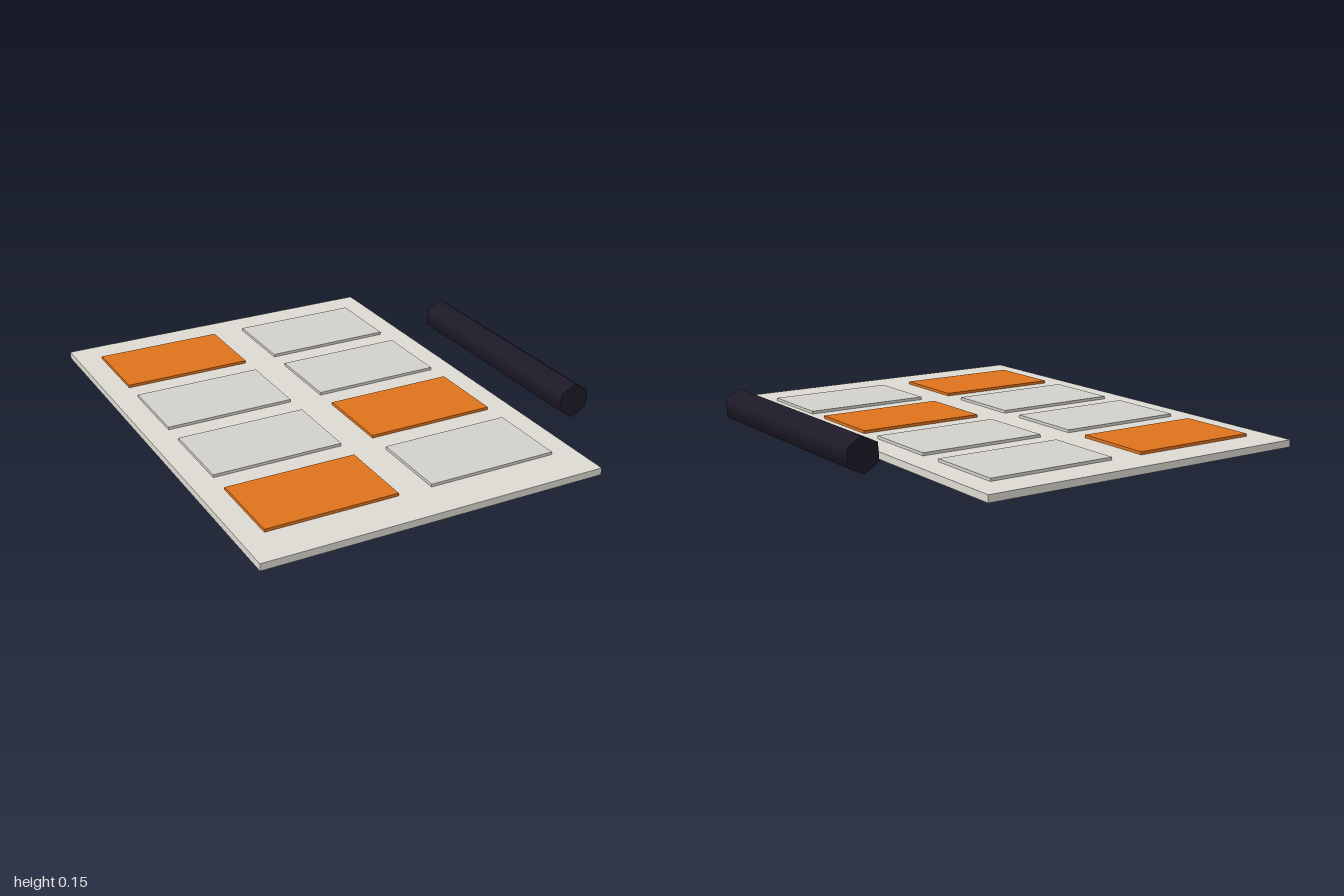
import * as THREE from 'three';

const paint = (color) => new THREE.MeshStandardMaterial({ color });

export function createModel() {
  const model = new THREE.Group();
  const turn = -0.14;
  const sheetMaterial = paint(0xdedbd3);
  const greyMaterial = paint(0xd4d2cc);
  const orangeMaterial = paint(0xe0731c);
  const darkMaterial = paint(0x1e1a28);

  const add = (parent, name, geometry, material, x, y, z) => {
    const mesh = new THREE.Mesh(geometry, material);
    mesh.name = name;
    mesh.position.set(x, y, z);
    parent.add(mesh);
    return mesh;
  };

  // Flat sheet, turned slightly on the ground
  const page = new THREE.Group();
  page.name = 'page';
  page.position.x = -0.083;
  page.rotation.y = turn;
  model.add(page);
  add(page, 'sheet', new THREE.BoxGeometry(1.323, 0.027, 1.833), sheetMaterial, 0, 0.0135, 0);

  // Two columns of four raised panels, three of them orange
  const panelGeometry = new THREE.BoxGeometry(0.502, 0.014, 0.313);
  const orange = ['0,0', '2,1', '3,0'];
  for (let row = 0; row < 4; row++) {
    for (let col = 0; col < 2; col++) {
      const lit = orange.includes(`${row},${col}`);
      add(page, lit ? 'orangePanel' : 'greyPanel', panelGeometry, lit ? orangeMaterial : greyMaterial,
        col ? 0.315 : -0.317, 0.031, -0.633 + row * 0.41);
    }
  }

  // Six-sided marker lying beside the sheet
  const markerGeometry = new THREE.CylinderGeometry(0.068, 0.068, 0.957, 6);
  markerGeometry.rotateX(Math.PI / 2).rotateZ(-0.07);
  add(model, 'marker', markerGeometry, darkMaterial, 0.737, 0.079, 0.156).rotation.y = turn;

  return model;
}
